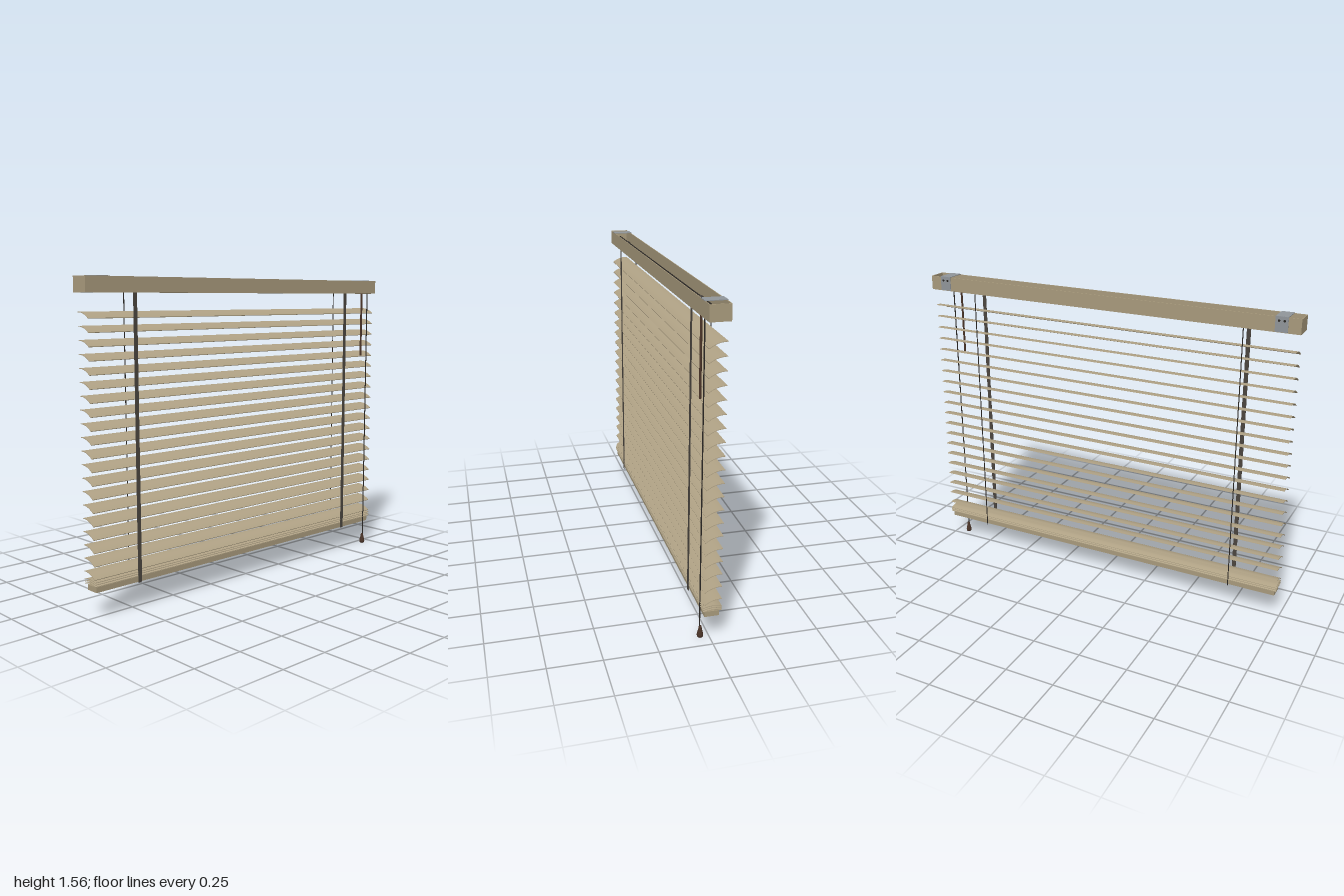
import * as THREE from 'three';
import { toCreasedNormals } from 'three/addons/utils/BufferGeometryUtils.js';

const mat = (color) => new THREE.MeshStandardMaterial({ color });

export function createModel() {
  const root = new THREE.Group();
  const railMat = mat(0xa89a7c);
  const slatMat = mat(0xb0a285);
  const tapeMat = mat(0x4a453f);
  const cordMat = mat(0x2a2724);
  const woodMat = mat(0x4a3428);
  const metalMat = mat(0x90959a);

  const add = (name, geo, material, x, y, z, parent = root) => {
    const m = new THREE.Mesh(geo, material);
    m.name = name;
    m.position.set(x, y, z);
    parent.add(m);
    return m;
  };
  const box = (name, w, h, d, material, x, y, z, parent) =>
    add(name, new THREE.BoxGeometry(w, h, d), material, x, y, z, parent);
  // vertical cord or rod between two heights
  const rod = (name, r, y0, y1, material, x, z, sides = 8) =>
    add(name, new THREE.CylinderGeometry(r, r, y1 - y0, sides), material, x, (y0 + y1) / 2, z);

  // Profile in (-z, y), extruded along x and centred
  const extrudeAlongX = (points, length) => {
    const shape = new THREE.Shape(points.map(([u, v]) => new THREE.Vector2(u, v)));
    const g = new THREE.ExtrudeGeometry(shape, { depth: length, bevelEnabled: false });
    g.translate(0, 0, -length / 2);
    g.rotateY(Math.PI / 2);
    return g;
  };

  // Head rail: open-topped channel with end caps
  const D = 0.047, T = 0.004, y0 = 1.485, y1 = 1.557;
  add('headRail', extrudeAlongX([
    [-D, y0], [D, y0], [D, y1], [D - T, y1], [D - T, y0 + T],
    [-D + T, y0 + T], [-D + T, y1], [-D, y1],
  ], 1.992), railMat, 0, 0, 0);
  for (const s of [-1, 1]) {
    box('railEndCap', 0.004, y1 - y0, 2 * D, railMat, s * 0.998, (y0 + y1) / 2, 0);
  }

  // Tilt rod with a cord drum above each ladder
  const tilt = add('tiltRod', new THREE.CylinderGeometry(0.005, 0.005, 1.94, 8), cordMat, 0, 1.525, 0);
  tilt.rotation.z = Math.PI / 2;
  for (const s of [-1, 1]) {
    const drum = add('cordDrum', new THREE.CylinderGeometry(0.009, 0.009, 0.02, 12), tapeMat, s * 0.73, 1.525, 0);
    drum.rotation.z = Math.PI / 2;
  }

  // Mounting brackets: top plate, back plate and two screws
  for (const s of [-1, 1]) {
    const bracket = new THREE.Group();
    bracket.name = 'mountingBracket';
    bracket.position.x = s * 0.91;
    root.add(bracket);
    box('bracketTop', 0.06, 0.003, 0.097, metalMat, 0, 1.5585, -0.0005, bracket);
    box('bracketBack', 0.06, 0.072, 0.003, metalMat, 0, 1.5235, -0.0485, bracket);
    for (const dx of [-0.013, 0.013]) {
      const screw = add('screw', new THREE.CylinderGeometry(0.005, 0.006, 0.003, 10), cordMat, dx, 1.54, -0.0512, bracket);
      screw.rotation.x = -Math.PI / 2;
    }
  }

  // Slat: thin arched strip
  const half = 0.0425, sag = 0.008, thick = 0.003, N = 10;
  const upper = [], lower = [];
  for (let i = 0; i <= N; i++) {
    const t = (i / N) * 2 - 1;
    const v = sag * (1 - t * t) - sag / 2;
    lower.push([t * half, v - thick / 2]);
    upper.unshift([t * half, v + thick / 2]);
  }
  const slatGeo = toCreasedNormals(extrudeAlongX([...lower, ...upper], 1.97), 0.5);

  // Hanging slats, tilted with the front edge down
  for (let i = 0; i < 20; i++) {
    const slat = add('slat', slatGeo, slatMat, 0, 1.39 - i * 0.0621, 0.001);
    slat.rotation.x = 0.32;
  }
  // Spare slats resting flat on the bottom rail
  for (let i = 0; i < 3; i++) add('stackedSlat', slatGeo, slatMat, 0, 0.165 + i * 0.01, 0.001);

  // Bottom rail
  box('bottomRail', 1.95, 0.026, 0.068, railMat, 0, 0.143, 0.002);

  // Ladder tapes in front, thin cords behind
  for (const s of [-1, 1]) {
    box('ladderTape', 0.02, 1.355, 0.003, tapeMat, s * 0.733, 0.8075, 0.044);
    rod('ladderCord', 0.0025, 0.13, 1.485, cordMat, s * 0.733, -0.043);
  }

  // Tilt wand
  rod('tiltWand', 0.0055, 1.13, 1.487, woodMat, 0.88, 0.044, 10);

  // Pull cord with turned tassel
  rod('pullCord', 0.003, 0.05, 1.487, cordMat, 0.93, 0.044);
  const profile = [[0, 0], [0.01, 0], [0.0145, 0.006], [0.015, 0.013], [0.012, 0.028],
    [0.008, 0.042], [0.0075, 0.05], [0.006, 0.057], [0, 0.058]];
  add('tassel', new THREE.LatheGeometry(profile.map(([x, y]) => new THREE.Vector2(x, y)), 16),
    woodMat, 0.93, 0, 0.041);

  return root;
}
